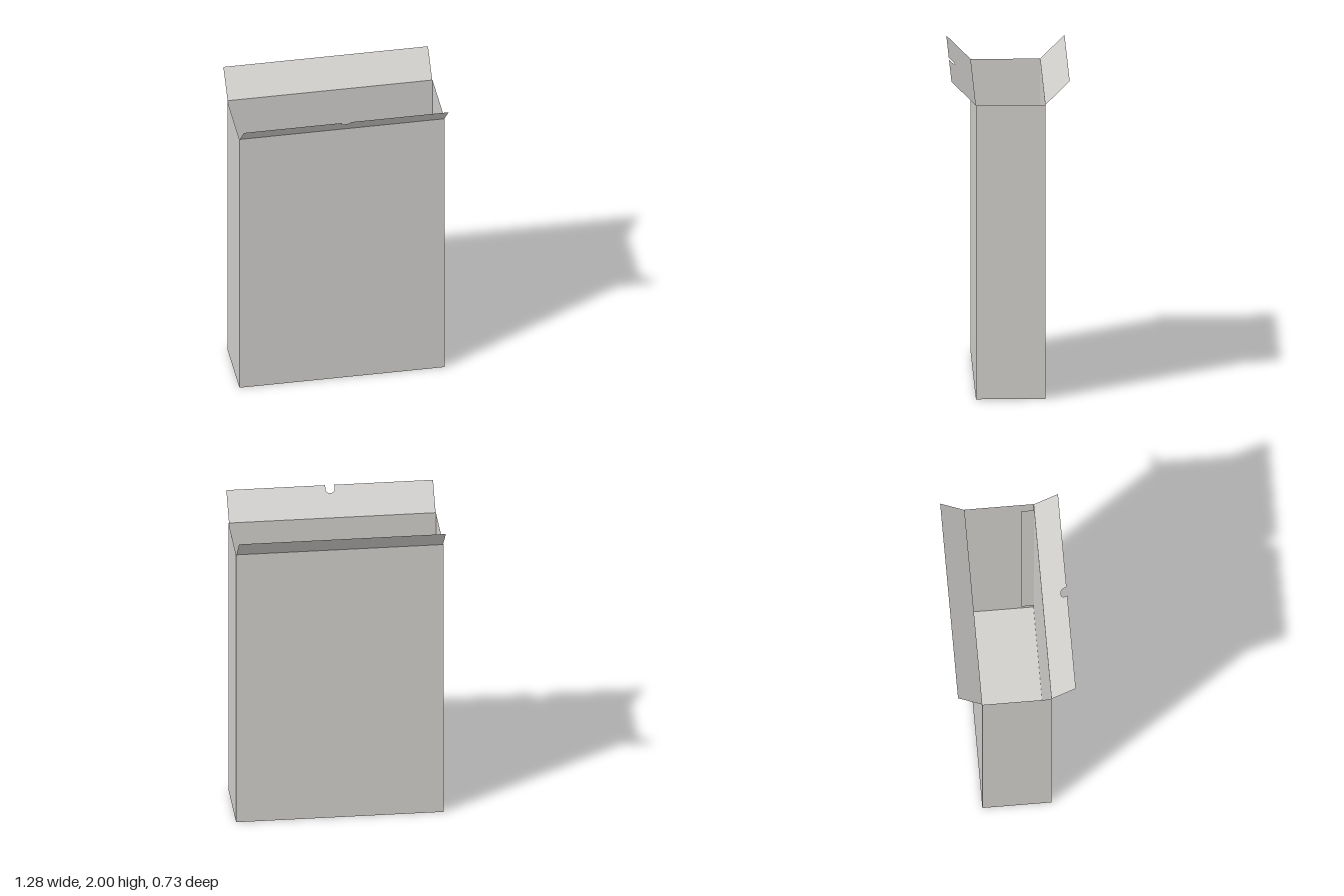
import * as THREE from 'three';

const HALF_W = 0.64, HALF_D = 0.213, HEIGHT = 1.85;
const FLAP = 0.15 * Math.SQRT2; // flap length along its 45 degree slope
const SHEET = 0.004;            // gap between overlapping sheets of card

export function createModel() {
  const model = new THREE.Group();
  model.name = 'openCarton';

  const card = new THREE.MeshStandardMaterial({ color: 0xd0cecb, side: THREE.DoubleSide });
  card.name = 'greyCard';

  const add = (name, geometry, position, rotation = [0, 0, 0]) => {
    const mesh = new THREE.Mesh(geometry, card);
    mesh.name = name;
    mesh.position.set(...position);
    mesh.rotation.set(...rotation);
    model.add(mesh);
  };
  const panel = (w, h) => new THREE.PlaneGeometry(w, h);

  // Four upright walls
  add('frontWall', panel(HALF_W * 2, HEIGHT), [0, HEIGHT / 2, HALF_D]);
  add('backWall', panel(HALF_W * 2, HEIGHT), [0, HEIGHT / 2, -HALF_D], [0, Math.PI, 0]);
  for (const side of [-1, 1]) {
    add(side > 0 ? 'leftWall' : 'rightWall', panel(HALF_D * 2, HEIGHT),
      [side * HALF_W, HEIGHT / 2, 0], [0, side * Math.PI / 2, 0]);
  }

  // Glue tab folded from the front wall, just inside the side wall
  add('glueTab', panel(0.08, HEIGHT - 0.14), [HALF_W - 0.015, HEIGHT / 2, HALF_D - 0.04],
    [0, -Math.PI / 2, 0]);

  // Bottom: a full inner flap over a half-depth outer flap
  add('bottomInnerFlap', panel(HALF_W * 2, HALF_D * 2), [0, SHEET, 0], [-Math.PI / 2, 0, 0]);
  add('bottomOuterFlap', panel(HALF_W * 2, HALF_D), [0, 0, HALF_D / 2], [Math.PI / 2, 0, 0]);

  // Top flaps hinged outwards; the front one has a round-ended thumb notch
  const flapGeometry = (notched) => {
    const w = HALF_W - 0.002, r = 0.028, straight = 0.025;
    const s = new THREE.Shape();
    s.moveTo(-w, 0);
    s.lineTo(w, 0);
    s.lineTo(w, FLAP);
    if (notched) {
      s.lineTo(r, FLAP);
      s.lineTo(r, FLAP - straight);
      s.absarc(0, FLAP - straight, r, 0, -Math.PI, true);
      s.lineTo(-r, FLAP);
    }
    s.lineTo(-w, FLAP);
    s.closePath();
    return new THREE.ShapeGeometry(s, 16);
  };
  add('frontTopFlap', flapGeometry(true), [0, HEIGHT, HALF_D], [Math.PI / 4, 0, 0]);
  add('backTopFlap', flapGeometry(false), [0, HEIGHT, -HALF_D], [-Math.PI / 4, 0, 0]);

  return model;
}
